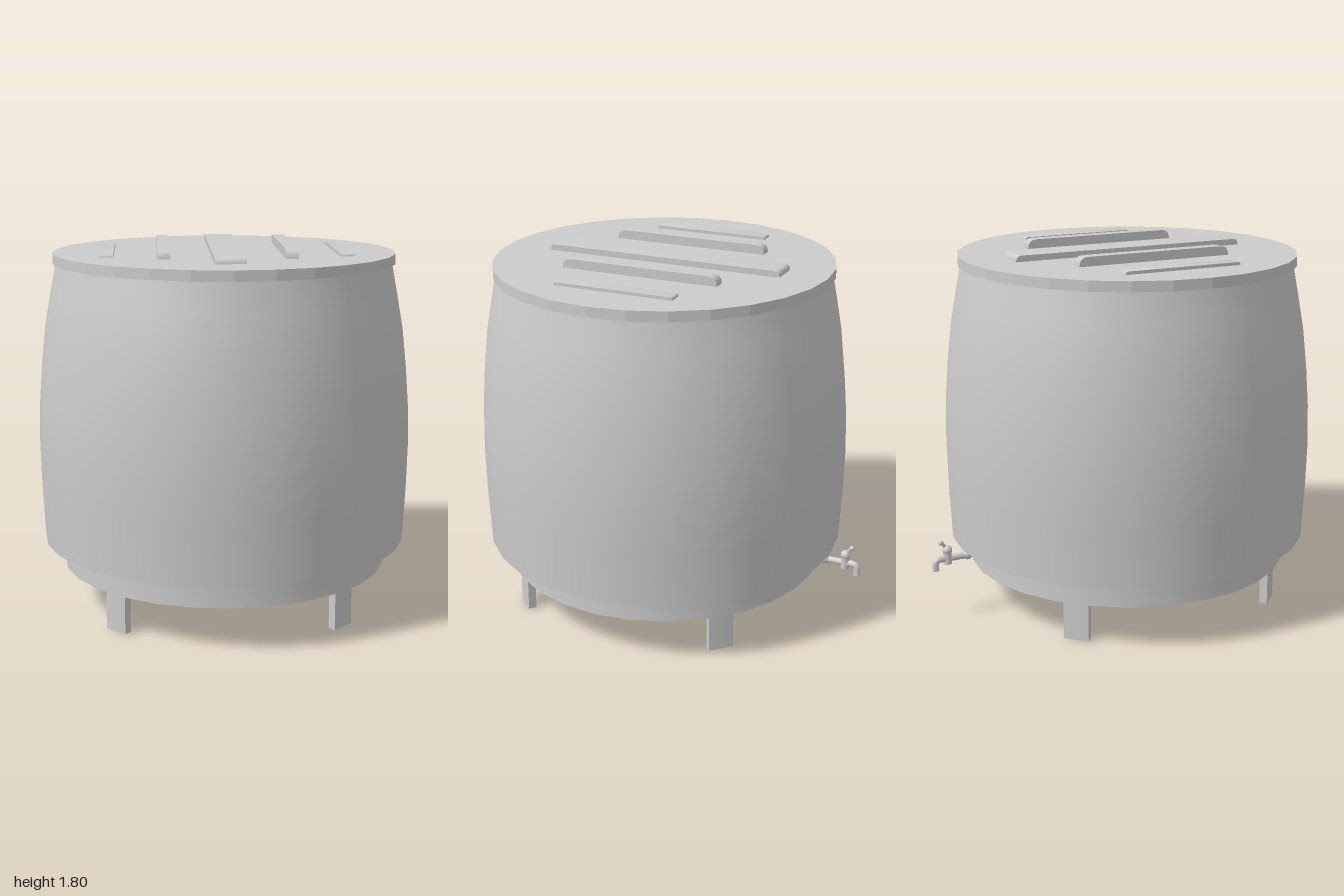
import * as THREE from 'three';
import { toCreasedNormals } from 'three/addons/utils/BufferGeometryUtils.js';

const SIDES = 28;
const CENTRE_Z = 0.07;

export function createModel() {
  const model = new THREE.Group();
  const tank = new THREE.Group();
  tank.name = 'tank';
  tank.position.z = CENTRE_Z;
  model.add(tank);
  const grey = new THREE.MeshStandardMaterial({ color: 0xcccccc });
  grey.name = 'plain grey';

  const add = (name, geometry, parent = model) => {
    const mesh = new THREE.Mesh(geometry, grey);
    mesh.name = name;
    parent.add(mesh);
    return mesh;
  };
  const lathe = (points) => toCreasedNormals(
    new THREE.LatheGeometry(points.map(([r, y]) => new THREE.Vector2(r, y)), SIDES), 0.6);

  // Barrel wall with its flat floor
  add('barrel', lathe([
    [0, 0.33], [0.907, 0.33], [0.92, 0.6], [0.925, 0.82], [0.919, 1.02], [0.905, 1.2],
    [0.883, 1.4], [0.854, 1.56], [0.825, 1.71], [0, 1.71],
  ]), tank);

  // Hollow ring under the barrel
  add('baseRing', lathe([[0.79, 0.33], [0.79, 0.2], [0.81, 0.2], [0.81, 0.33]]), tank);

  // Faceted lid
  const lid = new THREE.CylinderGeometry(0.84, 0.84, 0.05, SIDES);
  add('lid', toCreasedNormals(lid, 0.1), tank).position.y = 1.735;

  // Four curved plate legs inside the ring
  const legShape = new THREE.Shape();
  const half = 0.082;
  legShape.absarc(0, 0, 0.775, -half, half, false);
  legShape.absarc(0, 0, 0.735, half, -half, true);
  const legGeometry = new THREE.ExtrudeGeometry(legShape, { depth: 0.33, bevelEnabled: false, curveSegments: 4 });
  legGeometry.rotateX(-Math.PI / 2);
  for (let i = 0; i < 4; i++) {
    add('leg', toCreasedNormals(legGeometry, 0.6), tank).rotation.y = Math.PI / 4 + i * Math.PI / 2;
  }

  // Raised bars on the lid, with rounded ends
  const bar = (name, x, width, z0, z1, top) => {
    const h = top - 1.76;
    const s = new THREE.Shape();
    s.moveTo(z0, 0);
    s.quadraticCurveTo(z0, h, z0 + h, h);
    s.lineTo(z1 - h, h);
    s.quadraticCurveTo(z1, h, z1, 0);
    const g = new THREE.ExtrudeGeometry(s, { depth: width, bevelEnabled: false, curveSegments: 4 });
    g.translate(0, 1.76, -width / 2);
    g.rotateY(-Math.PI / 2);
    add(name, toCreasedNormals(g, 0.6)).position.x = x;
  };
  bar('centreBar', 0, 0.146, -0.555, 0.665, 1.79);
  for (const side of [-1, 1]) {
    bar('lidHandle', side * 0.3, 0.06, -0.345, 0.455, 1.805);
    bar('outerBar', side * 0.573, 0.072, -0.245, 0.355, 1.775);
  }

  // Tap at the back: bent pipe, collar, valve and lever
  const tap = new THREE.Group();
  tap.name = 'tap';
  model.add(tap);
  const v = (y, z) => new THREE.Vector3(0, y, z);
  const pipe = new THREE.CurvePath();
  pipe.add(new THREE.LineCurve3(v(0.305, -0.79), v(0.305, -0.955)));
  pipe.add(new THREE.QuadraticBezierCurve3(v(0.305, -0.955), v(0.305, -0.983), v(0.28, -0.983)));
  pipe.add(new THREE.LineCurve3(v(0.28, -0.983), v(0.25, -0.983)));
  add('tapPipe', new THREE.TubeGeometry(pipe, 24, 0.017, 10), tap);
  const end = add('spoutEnd', new THREE.CylinderGeometry(0.018, 0.018, 0.008, 10), tap);
  end.position.set(0, 0.254, -0.983);

  const collar = add('tapCollar', new THREE.SphereGeometry(0.026, 12, 8), tap);
  collar.position.set(0, 0.308, -0.815);
  add('valveBody', new THREE.CylinderGeometry(0.022, 0.022, 0.075, 10), tap).position.set(0, 0.315, -0.92);
  add('valveCap', new THREE.SphereGeometry(0.025, 12, 8), tap).position.set(0, 0.348, -0.92);
  const lever = new THREE.LineCurve3(v(0.35, -0.92), v(0.392, -0.95));
  add('lever', new THREE.TubeGeometry(lever, 1, 0.008, 8), tap);
  add('leverKnob', new THREE.SphereGeometry(0.013, 10, 8), tap).position.set(0, 0.39, -0.952);

  return model;
}
